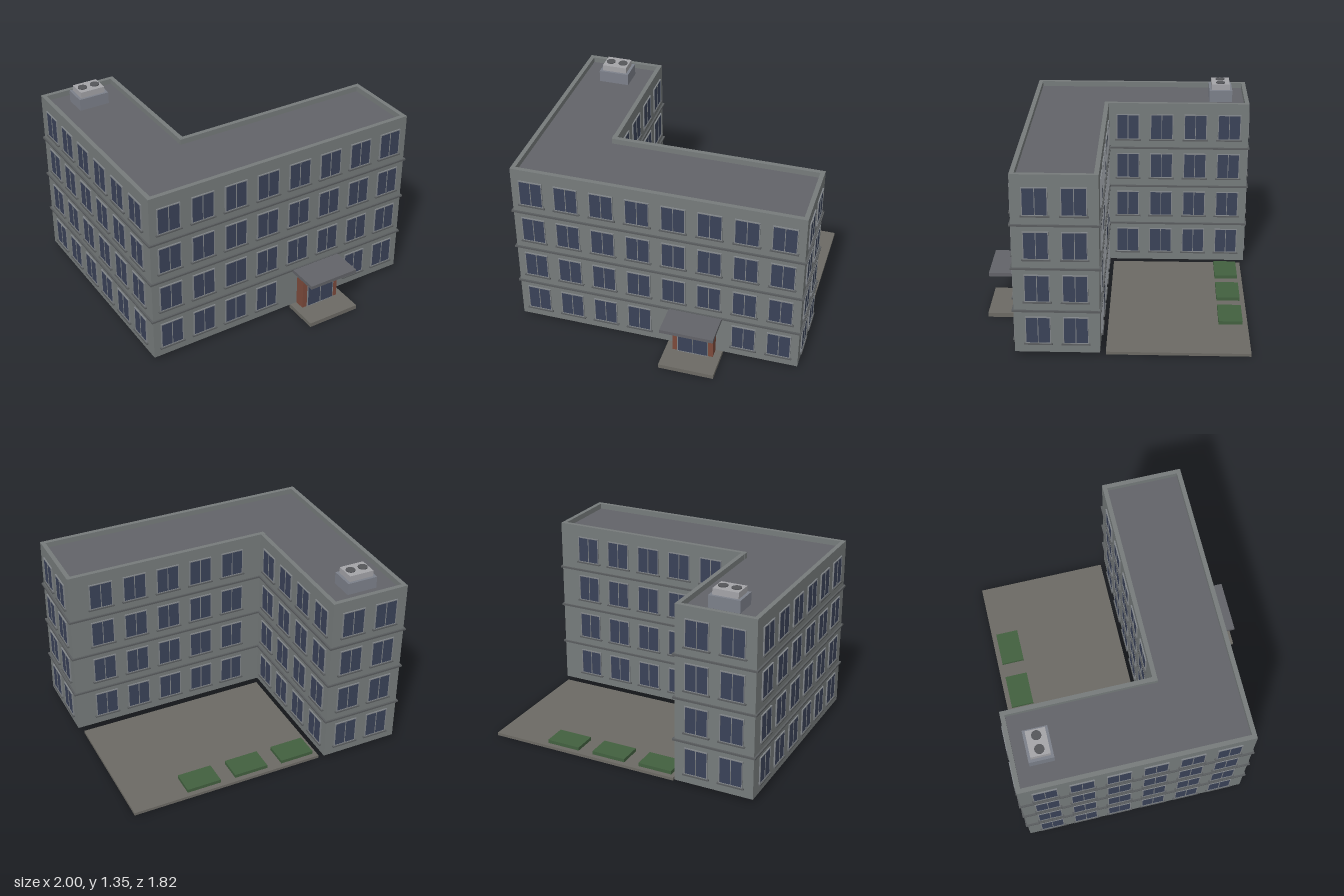
import * as THREE from 'three';

const mat = (color) => new THREE.MeshStandardMaterial({ color });
const M = {
  wall: mat(0x767b7b), ledge: mat(0x5a5d5f), roof: mat(0x626368), frame: mat(0x808488),
  glass: mat(0x3a4258), brick: mat(0x7c4a3b), paving: mat(0x6c6a64), green: mat(0x42603f),
  unitBase: mat(0x7c808a), unit: mat(0xa4a4a8), fan: mat(0x55565a),
};
const BASE = 0.03, FLOOR = 0.297, FLOORS = 4, BAY = 0.243, ROOF = 1.22, TOP = 1.258;

// L-shaped plan, grown outwards by d
function plan(d, Type = THREE.Shape) {
  const pts = [
    [-0.985 - d, 0.66 + d], [0.985 + d, 0.66 + d], [0.985 + d, 0.11 - d],
    [-0.435 + d, 0.11 - d], [-0.435 + d, -0.895 - d], [-0.985 - d, -0.895 - d],
  ];
  return new Type(pts.map(([x, z]) => new THREE.Vector2(x, -z)));
}

function add(parent, name, geometry, material) {
  const mesh = new THREE.Mesh(geometry, material);
  mesh.name = name;
  parent.add(mesh);
  return mesh;
}

// Upright extrusion of a plan between two heights
function slab(parent, name, shape, y0, y1, material) {
  const g = new THREE.ExtrudeGeometry(shape, { depth: y1 - y0, bevelEnabled: false });
  g.rotateX(-Math.PI / 2);
  return add(parent, name, g.translate(0, y0, 0), material);
}

// Box given by its limits
function box(parent, name, [x0, x1], [y0, y1], [z0, z1], material) {
  const g = new THREE.BoxGeometry(x1 - x0, y1 - y0, z1 - z0);
  return add(parent, name, g.translate((x0 + x1) / 2, (y0 + y1) / 2, (z0 + z1) / 2), material);
}

function rect(w, h, cx = 0, Type = THREE.Shape) {
  return new Type([[-1, -1], [1, -1], [1, 1], [-1, 1]].map(
    ([x, y]) => new THREE.Vector2(cx + x * w / 2, y * h / 2)));
}

// Two-pane frame, its back on z = 0
function frameGeometry(w, h, bar, depth) {
  const shape = rect(w, h);
  const pane = (w - 2 * bar - 0.005) / 2;
  for (const s of [-1, 1]) shape.holes.push(rect(pane, h - 2 * bar, s * (pane + 0.005) / 2, THREE.Path));
  return new THREE.ExtrudeGeometry(shape, { depth, bevelEnabled: false });
}

const windowFrame = frameGeometry(0.164, 0.19, 0.006, 0.009);
const windowGlass = new THREE.BoxGeometry(0.156, 0.182, 0.012);
const windowSill = new THREE.BoxGeometry(0.185, 0.009, 0.03);

function createWindow() {
  const g = new THREE.Group();
  g.name = 'window';
  add(g, 'windowFrame', windowFrame, M.frame);
  add(g, 'windowGlass', windowGlass, M.glass);
  add(g, 'windowSill', windowSill, M.ledge).position.y = -0.098;
  return g;
}

// Grid of windows on one wall, centred on (x, z) and facing along angle
function windowWall(parent, name, x, z, angle, count, skip = () => false) {
  const wall = new THREE.Group();
  wall.name = name;
  wall.position.set(x, 0, z);
  wall.rotation.y = angle;
  for (let f = 0; f < FLOORS; f++) {
    for (let i = 0; i < count; i++) {
      if (skip(f, i)) continue;
      const w = createWindow();
      w.position.set((i - (count - 1) / 2) * BAY, BASE + f * FLOOR + 0.16, 0);
      wall.add(w);
    }
  }
  parent.add(wall);
}

export function createModel() {
  const model = new THREE.Group();
  model.name = 'building';

  // Walls, floor ledges, roof and parapet
  slab(model, 'walls', plan(0), BASE, ROOF - 0.01, M.wall);
  slab(model, 'roof', plan(-0.01), ROOF - 0.01, ROOF, M.roof);
  const rim = plan(0);
  rim.holes.push(plan(-0.03, THREE.Path));
  slab(model, 'parapet', rim, ROOF - 0.01, TOP, M.wall);
  for (let f = 1; f < FLOORS; f++) {
    const y = BASE + f * FLOOR;
    slab(model, 'floorLedge', plan(0.012), y - 0.006, y + 0.006, M.ledge);
  }
  box(model, 'parapetCorner', [-0.467, -0.435], [ROOF, TOP + 0.001], [0.098, 0.13], M.wall);

  // Windows; the entrance takes two ground-floor bays
  windowWall(model, 'frontWindows', 0, 0.66, 0, 8, (f, i) => f === 0 && (i === 4 || i === 5));
  windowWall(model, 'leftEndWindows', 0.985, 0.385, Math.PI / 2, 2);
  windowWall(model, 'courtyardBackWindows', 0.275, 0.11, Math.PI, 5);
  windowWall(model, 'courtyardSideWindows', -0.435, -0.393, Math.PI / 2, 4);
  windowWall(model, 'backEndWindows', -0.71, -0.895, Math.PI, 2);
  windowWall(model, 'rightWindows', -0.985, -0.117, -Math.PI / 2, 6);

  // Entrance
  const entrance = new THREE.Group();
  entrance.name = 'entrance';
  model.add(entrance);
  box(entrance, 'step', [0.083, 0.467], [0, 0.03], [0.65, 0.905], M.paving);
  box(entrance, 'porch', [0.133, 0.418], [0.03, 0.305], [0.65, 0.733], M.brick);
  box(entrance, 'canopy', [0.09, 0.457], [0.305, 0.33], [0.65, 0.89], M.roof);
  box(entrance, 'doorGlass', [0.173, 0.379], [0.034, 0.268], [0.73, 0.739], M.glass);
  add(entrance, 'doorFrame', frameGeometry(0.214, 0.242, 0.005, 0.008), M.frame)
    .position.set(0.276, 0.151, 0.733);

  // Rooftop ventilation unit
  const vent = new THREE.Group();
  vent.name = 'ventilationUnit';
  model.add(vent);
  box(vent, 'unitBase', [-0.82, -0.605], [ROOF, 1.303], [-0.78, -0.615], M.unitBase);
  box(vent, 'unitHousing', [-0.8, -0.625], [1.303, 1.345], [-0.762, -0.632], M.unit);
  for (const x of [-0.758, -0.667]) {
    add(vent, 'fan', new THREE.CylinderGeometry(0.032, 0.032, 0.008, 20), M.fan)
      .position.set(x, 1.347, -0.696);
  }

  // Courtyard and planting beds
  box(model, 'courtyard', [-0.41, 0.955], [0, 0.02], [-0.867, 0.075], M.paving);
  for (const x of [-0.38, -0.03, 0.32]) {
    box(model, 'plantingBed', [x, x + 0.242], [0.02, 0.044], [-0.833, -0.67], M.green);
  }
  return model;
}
